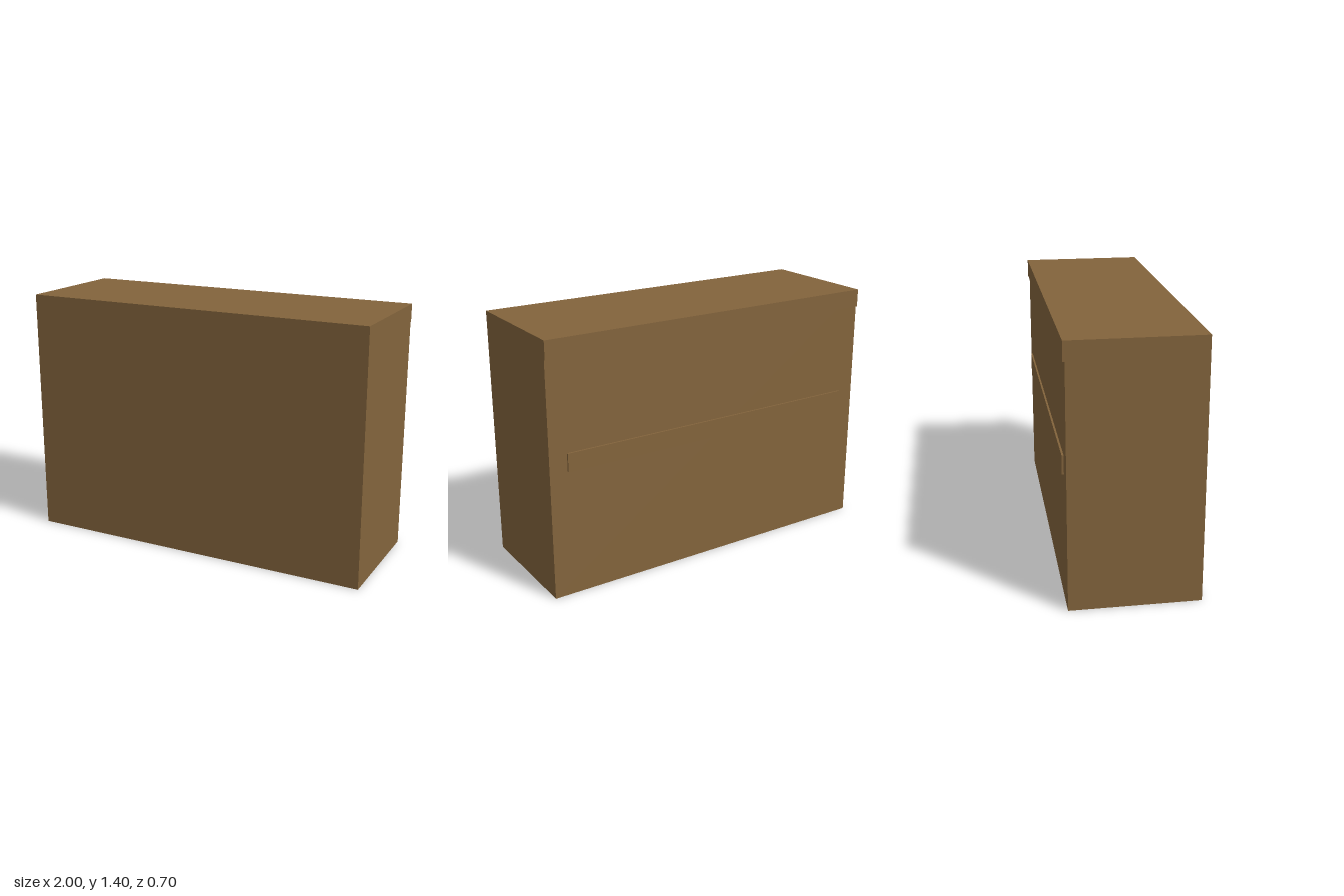
import * as THREE from 'three';

export function createModel() {
  const model = new THREE.Group();
  const brown = new THREE.MeshStandardMaterial({ color: 0x83643c, side: THREE.DoubleSide });
  brown.name = 'brown';

  const add = (name, geometry, y, z) => {
    const mesh = new THREE.Mesh(geometry, brown);
    mesh.name = name;
    mesh.position.set(0, y, z);
    model.add(mesh);
  };

  // Thin-walled body, open underneath: drop the bottom face of a box
  const shell = new THREE.BoxGeometry(2, 1.4, 0.69);
  const faces = Array.from(shell.index.array);
  faces.splice(18, 6);
  shell.setIndex(faces);
  shell.clearGroups();
  add('bodyShell', shell, 0.7, 0.005);

  // Raised strips on the back: a full-width top rail and a shorter middle rail
  add('topRail', new THREE.BoxGeometry(2, 0.1, 0.01), 1.35, -0.345);
  add('middleRail', new THREE.BoxGeometry(1.8, 0.1, 0.01), 0.75, -0.345);

  return model;
}
